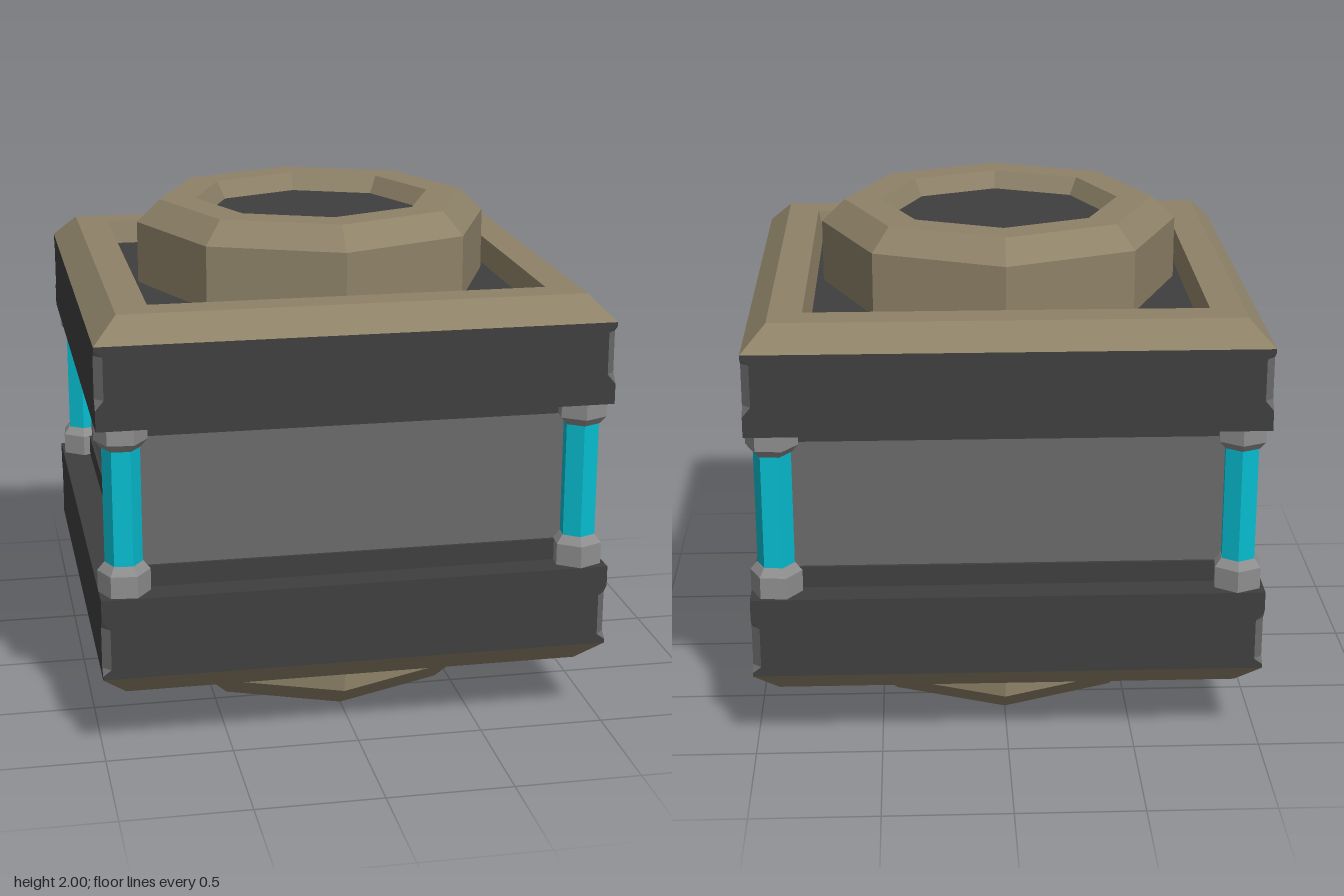
import * as THREE from 'three';

const mat = (color) => new THREE.MeshStandardMaterial({ color, flatShading: true });
const TAN = mat(0x8e8268), DARK = mat(0x3f3f3f), PANEL = mat(0x6a6a6a);
const STEEL = mat(0x8e8e8e), CYAN = mat(0x06bccf);

function part(name, geometry, material) {
  const g = geometry.index ? geometry.toNonIndexed() : geometry;
  g.computeVertexNormals();
  const mesh = new THREE.Mesh(g, material);
  mesh.name = name;
  return mesh;
}

// Faceted solid turned from a [radius, y] profile running up the outside.
// A square (4 sides) takes half-widths instead of radii.
function turned(name, profile, sides, material, turn = 0) {
  const square = sides === 4;
  const k = square ? Math.SQRT2 : 1;
  const pts = profile.map(([r, y]) => new THREE.Vector2(r * k, y));
  return part(name, new THREE.LatheGeometry(pts, sides, square ? Math.PI / 4 : turn), material);
}

// Square cross-section with its corners cut by c
function section([y, h, c]) {
  const pts = [];
  for (let k = 0; k < 4; k++) {
    for (let [x, w] of [[h, h - c], [h - c, h]]) {
      for (let i = 0; i < k; i++) [x, w] = [-w, x];
      pts.push(new THREE.Vector3(x, y, -w));
    }
  }
  return pts;
}

// Loft through the sections; even columns are the corner cuts, odd ones the sides
function loft(rows, parity) {
  const rings = rows.map(section), verts = [];
  const tri = new THREE.Triangle();
  const add = (a, b, c) => {
    if (tri.set(a, b, c).getArea() > 1e-7) for (const p of [a, b, c]) verts.push(p.x, p.y, p.z);
  };
  for (let i = 0; i + 1 < rings.length; i++) {
    for (let j = parity; j < 8; j += 2) {
      const n = (j + 1) % 8, lo = rings[i], hi = rings[i + 1];
      add(lo[j], lo[n], hi[n]);
      add(lo[j], hi[n], hi[j]);
    }
  }
  const g = new THREE.BufferGeometry();
  g.setAttribute('position', new THREE.Float32BufferAttribute(verts, 3));
  return g;
}

// Upper half: slab, trim and octagonal collar
function endCap(name) {
  const group = new THREE.Group();
  group.name = name;
  const rows = [
    [1.335, 0, 0], [1.335, 1, 0], [1.415, 1, 0], [1.455, 1, 0.033],
    [1.62, 1, 0.033], [1.645, 1, 0], [1.66, 1, 0], [1.66, 0, 0],
  ];
  group.add(
    part('slab', loft(rows, 1), DARK),
    part('cornerNotches', loft(rows, 0), PANEL),
    turned('squareTrim', [[1, 1.66], [0.905, 1.755], [0.775, 1.755], [0.753, 1.66]], 4, TAN),
    turned('collar', [[0.725, 1.66], [0.725, 1.91], [0.63, 2], [0.485, 2], [0.445, 1.93]], 8, TAN),
    turned('collarFloor', [[0.45, 1.93], [0, 1.93]], 8, DARK),
  );
  return group;
}

export function createModel() {
  const model = new THREE.Group();
  model.name = 'crate';

  // Matching ends, the lower one turned upside down
  const bottom = endCap('bottomEnd');
  bottom.rotation.x = Math.PI;
  bottom.position.y = 2;
  model.add(endCap('topEnd'), bottom);

  // Recessed middle with a shallow ledge at each slab
  model.add(
    turned('core', [[0.87, 0.7], [0.87, 1.3]], 4, PANEL),
    turned('lowerLedge', [[0.882, 0.66], [0.882, 0.752], [0.86, 0.752]], 4, DARK),
    turned('upperLedge', [[0.86, 1.273], [0.882, 1.273], [0.882, 1.34]], 4, DARK),
  );

  // Hexagonal glowing posts with steel sockets, each a quarter turn from the last
  for (const sx of [1, -1]) {
    for (const sz of [1, -1]) {
      const turn = THREE.MathUtils.degToRad(sx * sz < 0 ? 24.5 : 54.5);
      const post = new THREE.Group();
      post.name = 'cornerPost';
      post.position.set(sx * 0.9, 0, sz * 0.9);
      post.add(
        turned('tube', [[0.073, 0.76], [0.073, 1.26]], 6, CYAN, turn),
        turned('lowerSocket', [[0.102, 0.665], [0.102, 0.752], [0.075, 0.785], [0, 0.785]], 6, STEEL, turn),
        turned('upperSocket', [[0, 1.242], [0.075, 1.242], [0.102, 1.273], [0.102, 1.335]], 6, STEEL, turn),
      );
      model.add(post);
    }
  }
  return model;
}
